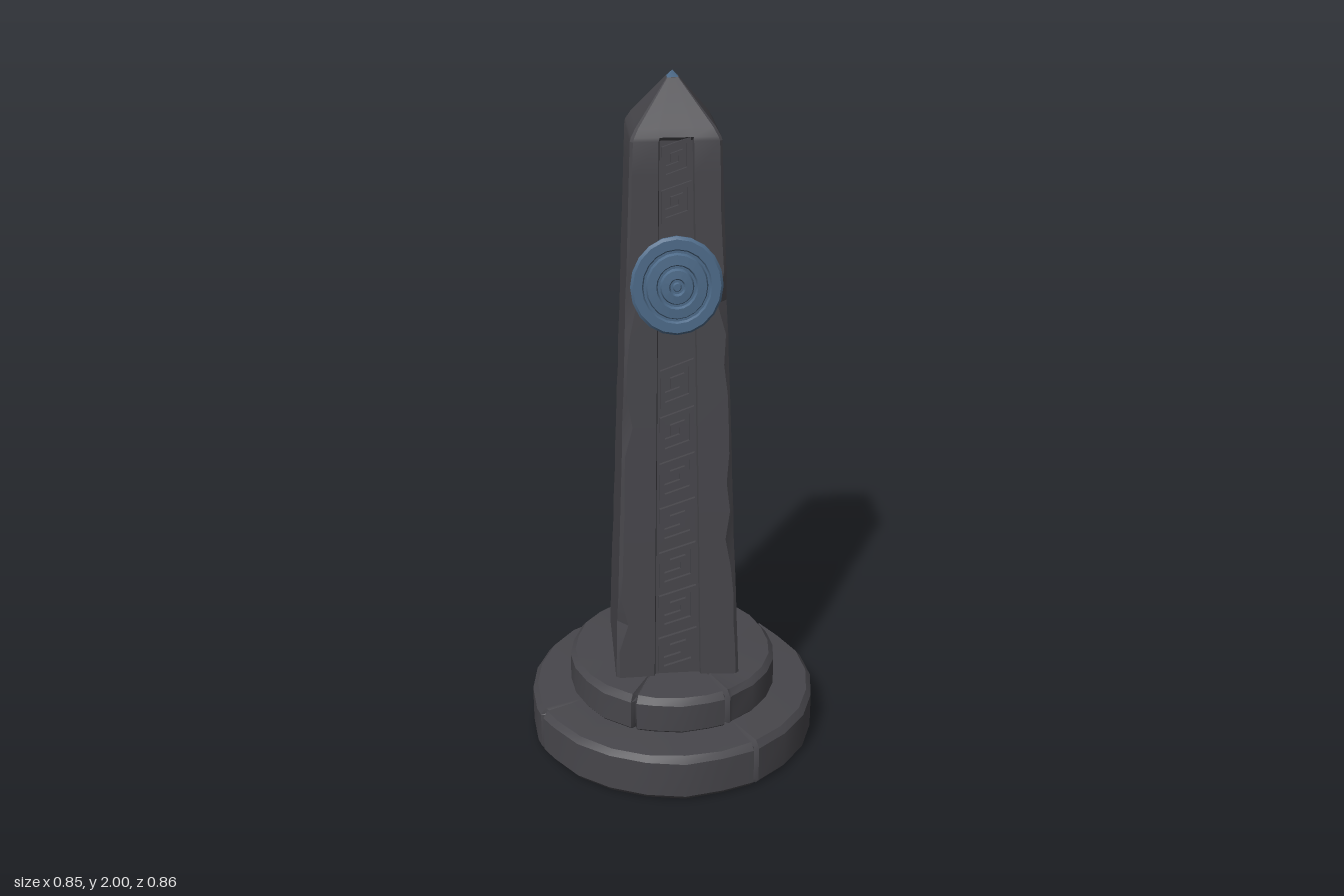
import * as THREE from 'three';
import { toCreasedNormals } from 'three/addons/utils/BufferGeometryUtils.js';

const stone = new THREE.MeshStandardMaterial({ color: 0x47464b });
stone.name = 'dark stone';
const blue = new THREE.MeshStandardMaterial({ color: 0x4d6a88 });
blue.name = 'slate blue';

const Y0 = 0.265, Y1 = 1.84, H0 = 0.18, H1 = 0.12; // shaft bottom, top and half widths
const TAPER = (H0 - H1) / (Y1 - Y0);
const RECESS = 0.012;
const bandHalf = (y) => 0.068 - 0.014 * (y - Y0); // half width of the carved band

let seed = 7;
function rand() {
  seed = (seed * 16807) % 2147483647;
  return seed / 2147483647;
}

function mesh(name, geometry, material) {
  const m = new THREE.Mesh(geometry, material);
  m.name = name;
  return m;
}

// Closed skin over rings of [x, y, z] points, listed bottom to top
function loft(rings, crease) {
  const n = rings[0].length, pos = rings.flat(2), index = [];
  for (let i = 0; i < rings.length - 1; i++) {
    for (let j = 0; j < n; j++) {
      const a = i * n + j, b = i * n + (j + 1) % n;
      index.push(a, b, b + n, a, b + n, a + n);
    }
  }
  const last = (rings.length - 1) * n, low = rings.length * n;
  pos.push(0, rings[0][0][1], 0, 0, rings.at(-1)[0][1], 0);
  for (let j = 0; j < n; j++) {
    const k = (j + 1) % n;
    index.push(low, k, j, low + 1, last + j, last + k);
  }
  const g = new THREE.BufferGeometry();
  g.setAttribute('position', new THREE.Float32BufferAttribute(pos, 3));
  g.setIndex(index);
  return toCreasedNormals(g, crease);
}

// Round plinth step with worn edges; cracks are narrow notches at given angles
function step(radius, y0, y1, cracks, inner) {
  const spots = [];
  for (let i = 0; i < 24; i++) {
    const a = (i / 24) * Math.PI * 2;
    if (cracks.every((c) => Math.abs(c - a) > 0.06)) spots.push({ a, cut: 0, wear: rand() * 0.006 });
  }
  const w = 0.009 / radius;
  for (const c of cracks) {
    spots.push({ a: c - w, cut: 0, wear: 0 }, { a: c, cut: 0.014, wear: 0 }, { a: c + w, cut: 0, wear: 0 });
  }
  spots.sort((p, q) => p.a - q.a);
  const profile = [[radius - 0.012, y0], [radius, y0 + 0.015], [radius, y1 - 0.025], [radius - 0.015, y1 - 0.004], [inner, y1]];
  return loft(profile.map(([r, y], i) => spots.map(({ a, cut, wear }) => {
    const rr = i === 4 ? r : r - cut - wear;
    const yy = i === 3 ? y - cut - wear : y;
    return [rr * Math.sin(a), yy, rr * Math.cos(a)];
  })), 0.55);
}

// Square section with chipped corners and a recessed band on front and back
function shaftRing(y, h, chips, depth) {
  const ring = [], w = Math.min(bandHalf(y), h * 0.5);
  for (let k = 0; k < 4; k++) {
    const a = k * Math.PI / 2, s = Math.sin(a), c = Math.cos(a);
    const pts = [[-h + chips[k], h], [h - chips[(k + 1) % 4], h]];
    if (k % 2 === 0) pts.splice(1, 0, [-w, h], [-w + 0.003, h - depth], [w - 0.003, h - depth], [w, h]);
    for (const [u, d] of pts) ring.push([u * c + d * s, y, -u * s + d * c]);
  }
  return ring;
}

function shaft() {
  const rings = [], levels = 18;
  for (let i = 0; i <= levels; i++) {
    const y = Y0 - 0.005 + (Y1 - Y0 + 0.005) * i / levels;
    const chips = [0, 1, 2, 3].map(() => 0.007 + 0.03 * rand() ** 3 * (i < 14 ? 1 : 0.3));
    rings.push(shaftRing(y, H0 - TAPER * (y - Y0), chips, RECESS));
  }
  rings.push(shaftRing(1.85, 0.117, [0.008, 0.008, 0.008, 0.008], 0));
  rings.push(shaftRing(1.872, 0.104, [0.007, 0.007, 0.007, 0.007], 0));
  rings.push(shaftRing(1.983, 0.016, [0.002, 0.002, 0.002, 0.002], 0));
  return loft(rings, 0.3);
}

// Slanted frame with a hooked key inside, one unit wide and high
const slant = (pts) => pts.map(([u, v]) => new THREE.Vector2(u, v + u * 0.3));
const frame = new THREE.Shape(slant([[-0.5, -0.5], [0.5, -0.5], [0.5, 0.5], [-0.5, 0.5]]));
frame.holes.push(new THREE.Path(slant([[-0.36, -0.36], [-0.36, 0.36], [0.36, 0.36], [0.36, -0.36]])));
const hook = new THREE.Shape(slant([[-0.36, -0.22], [0.22, -0.22], [0.22, 0.22], [-0.2, 0.22],
  [-0.2, -0.04], [-0.06, -0.04], [-0.06, 0.08], [0.08, 0.08], [0.08, -0.1], [-0.36, -0.1]]));
const glyphGeometry = new THREE.ExtrudeGeometry([frame, hook], { depth: 1, bevelEnabled: false });

// Stepped round shield with concentric rings
function medallion() {
  const profile = [[0.122, -0.013], [0.125, 0.003], [0.118, 0.01], [0.094, 0.01], [0.09, 0.004], [0.084, 0.004],
    [0.08, 0.012], [0.056, 0.014], [0.052, 0.007], [0.046, 0.007], [0.042, 0.015], [0.022, 0.017],
    [0.018, 0.01], [0.012, 0.01], [0.009, 0.016], [0, 0.018]].map(([x, y]) => new THREE.Vector2(x, y));
  const g = toCreasedNormals(new THREE.LatheGeometry(profile, 20), 0.5);
  return g.rotateX(Math.PI / 2).scale(1, 1.1, 1);
}

// Carvings of one face, laid along its slope
function carvedFace(name) {
  const face = new THREE.Group();
  face.name = name;
  const slope = new THREE.Group();
  slope.name = name + 'Slope';
  slope.position.set(0, Y0, H0);
  slope.rotation.x = -Math.atan(TAPER);
  const heights = [0, 1, 2, 3, 4, 5, 6].map((i) => 0.345 + i * 0.138).concat(1.68, 1.795);
  for (const y of heights) {
    const glyph = mesh('carvedKey', glyphGeometry, stone);
    glyph.position.set(0, y - Y0, -RECESS - 0.001);
    glyph.scale.set(bandHalf(y) * 1.65, y > 1.6 ? 0.088 : 0.112, RECESS - 0.001);
    slope.add(glyph);
  }
  const shield = mesh('medallion', medallion(), blue);
  shield.position.set(0, 1.455 - Y0, 0.002);
  slope.add(shield);
  face.add(slope);
  return face;
}

export function createModel() {
  const model = new THREE.Group();
  model.name = 'obelisk';
  model.add(mesh('lowerPlinth', step(0.43, 0, 0.15, [0.51, 2.33, 3.55, 5.08], 0.3), stone));
  model.add(mesh('upperPlinth', step(0.312, 0.14, Y0, [0.45, 2.4, 5.83], 0.17), stone));
  model.add(mesh('shaft', shaft(), stone));

  // Small coloured point on the capstone
  const tip = mesh('tip', new THREE.ConeGeometry(0.025, 0.02, 4, 1).rotateY(Math.PI / 4), blue);
  tip.position.y = 1.99;
  model.add(tip);

  const front = carvedFace('frontCarving');
  const back = carvedFace('backCarving');
  back.rotation.y = Math.PI;
  model.add(front, back);
  return model;
}
